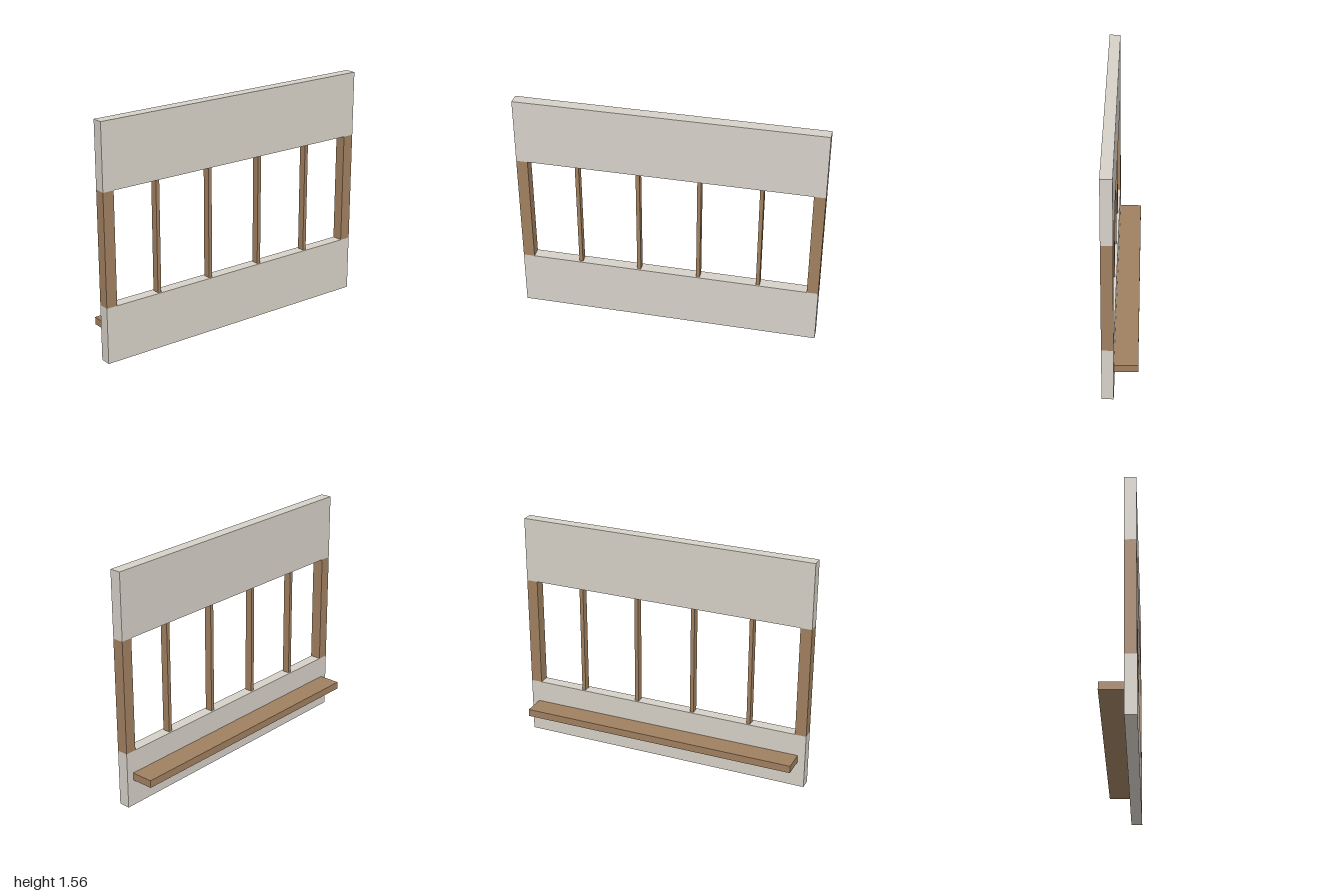
import * as THREE from 'three';

const wallMaterial = new THREE.MeshStandardMaterial({ color: 0xd6d1c8 });
const woodMaterial = new THREE.MeshStandardMaterial({ color: 0xa08060 });

const WALL_Z = 0.075;       // centre of the wall thickness
const WALL_DEPTH = 0.075;
const SILL = 0.375;         // bottom of the opening
const HEAD = 1.125;         // top of the opening
const HEIGHT = 1.5625;

export function createModel() {
  const model = new THREE.Group();
  model.name = 'windowWall';

  // A box spanning y0..y1, centred on x and z
  const addBox = (name, material, width, y0, y1, depth, x = 0, z = WALL_Z) => {
    const mesh = new THREE.Mesh(new THREE.BoxGeometry(width, y1 - y0, depth), material);
    mesh.name = name;
    mesh.position.set(x, (y0 + y1) / 2, z);
    model.add(mesh);
  };

  // Wall below and above the opening
  addBox('lowerWall', wallMaterial, 2, 0, SILL, WALL_DEPTH);
  addBox('upperWall', wallMaterial, 2, HEAD, HEIGHT, WALL_DEPTH);

  // End posts, as thick as the wall
  for (const side of [-1, 1]) {
    addBox(side > 0 ? 'leftPost' : 'rightPost', woodMaterial, 0.075, SILL, HEAD, WALL_DEPTH, side * 0.9625);
  }

  // Slim mullions, set back from both wall faces
  for (let i = 0; i < 4; i++) {
    addBox(`mullion${i + 1}`, woodMaterial, 0.025, SILL, HEAD, 0.05, -0.6 + i * 0.4);
  }

  // Shelf on the back of the lower wall
  addBox('shelf', woodMaterial, 1.9, 0.175, 0.225, 0.15, 0, -0.0375);

  return model;
}
